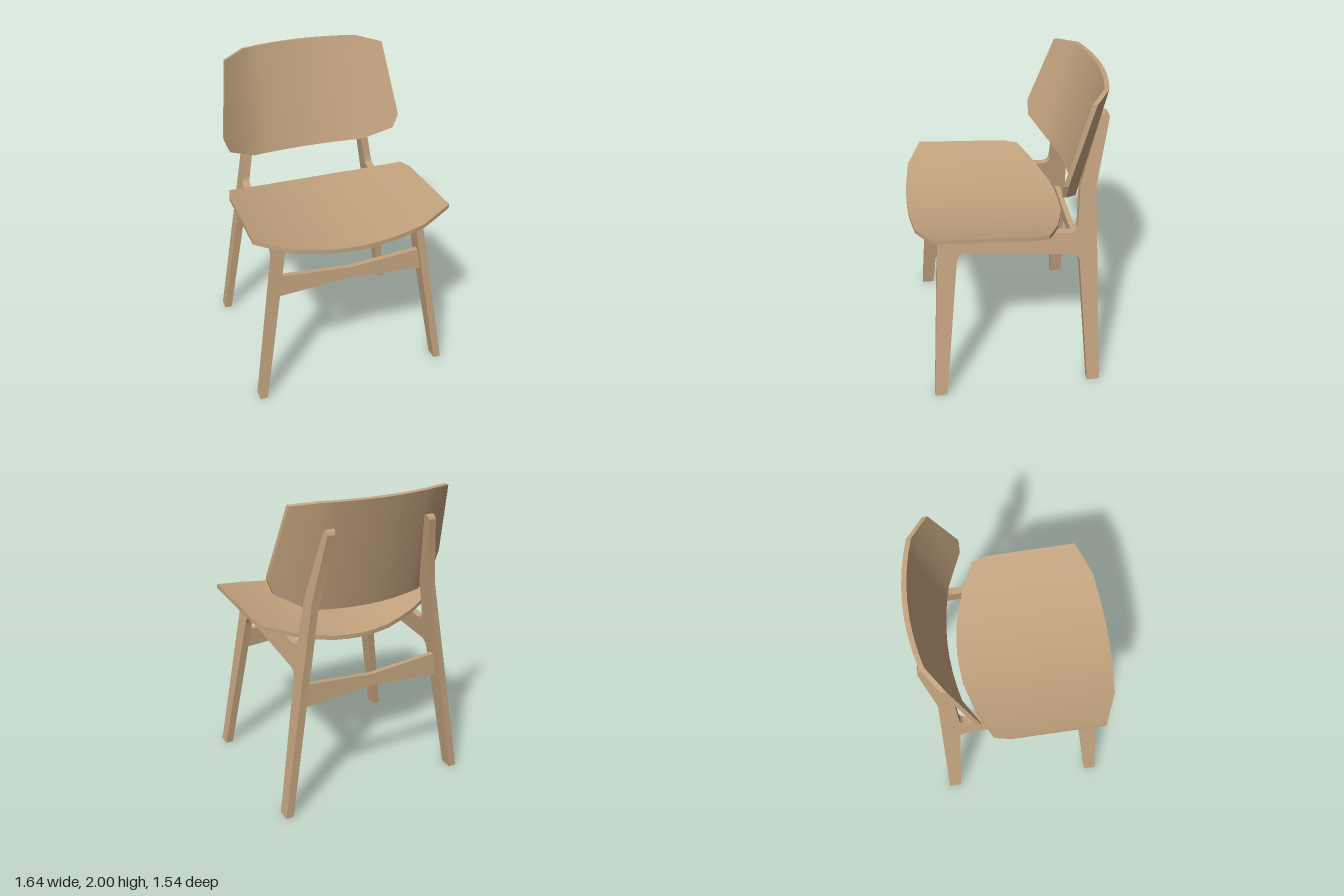
import * as THREE from 'three';
import { toCreasedNormals } from 'three/addons/utils/BufferGeometryUtils.js';

const wood = new THREE.MeshStandardMaterial({ color: 0xc4a47f });
wood.name = 'wood';

const LEAN = 0.158; // inward lean of the side frames per unit of height
const CREASE = 0.35;

// height of the seat top: dished across, sloping to the back
const seatY = (x, z) => 1.08 + 0.057 * (z + 0.19) + 0.1 * (x / 0.63) ** 2;

// depth of the backrest front: leaning back, wings bent forward
function backZ(x, y) {
  const a = Math.abs(x);
  const bend = a < 0.39 ? 0.055 * (a / 0.39) ** 2 : 0.055 + 0.67 * (a - 0.39);
  return -0.41 - 0.24 * (y - 1.295) + bend;
}

function addMesh(parent, name, geometry) {
  const mesh = new THREE.Mesh(geometry, wood);
  mesh.name = name;
  parent.add(mesh);
  return mesh;
}

// Curved plate from mirrored stations [x, low edge, high edge]
function plate(half, rows, point, offset) {
  const stations = [...half.slice(1).reverse().map(([x, lo, hi]) => [-x, lo, hi]), ...half];
  const cols = stations.length;
  const count = cols * (rows + 1);
  const front = [];
  const index = [];
  for (const [x, lo, hi] of stations) {
    for (let j = 0; j <= rows; j++) front.push(point(x, lo + (hi - lo) * j / rows));
  }
  const back = front.map((p) => p.clone().add(offset));
  const id = (i, j) => i * (rows + 1) + j;
  const quad = (a, b, c, d) => index.push(a, b, c, a, c, d);
  for (let i = 0; i < cols - 1; i++) {
    for (let j = 0; j < rows; j++) {
      const q = [id(i, j), id(i + 1, j), id(i + 1, j + 1), id(i, j + 1)];
      quad(...q);
      quad(...q.map((k) => k + count).reverse());
    }
  }
  // rim around the outline
  const loop = [];
  for (let i = 0; i < cols - 1; i++) loop.push(id(i, 0));
  for (let j = 0; j < rows; j++) loop.push(id(cols - 1, j));
  for (let i = cols - 1; i > 0; i--) loop.push(id(i, rows));
  for (let j = rows; j > 0; j--) loop.push(id(0, j));
  loop.forEach((p, k) => {
    const q = loop[(k + 1) % loop.length];
    quad(p + count, q + count, q, p);
  });
  const geometry = new THREE.BufferGeometry().setFromPoints([...front, ...back]);
  geometry.setIndex(index);
  return toCreasedNormals(geometry, CREASE);
}

// Side frame: front leg, rail and back post in one piece, drawn in (z, y)
function sideFrame(side) {
  const s = new THREE.Shape();
  s.moveTo(0.552, 0);
  s.lineTo(0.475, 1.146);
  s.lineTo(-0.15, 1.108);
  s.lineTo(-0.33, 1.088);
  s.quadraticCurveTo(-0.395, 1.085, -0.397, 1.14);
  s.lineTo(-0.407, 1.395);
  s.lineTo(-0.523, 1.81);
  s.quadraticCurveTo(-0.535, 1.84, -0.552, 1.84);
  s.quadraticCurveTo(-0.572, 1.84, -0.578, 1.81);
  s.lineTo(-0.506, 1.385);
  s.lineTo(-0.555, 0);
  s.lineTo(-0.472, 0);
  s.lineTo(-0.409, 0.89);
  s.quadraticCurveTo(-0.405, 0.938, -0.352, 0.944);
  s.lineTo(0.30, 1.013);
  s.quadraticCurveTo(0.357, 1.015, 0.367, 0.95);
  s.lineTo(0.472, 0);
  s.closePath();
  const geometry = new THREE.ExtrudeGeometry(s, { depth: 0.05, bevelEnabled: false, curveSegments: 5 });
  const p = geometry.attributes.position;
  for (let i = 0; i < p.count; i++) {
    const z = p.getX(i), y = p.getY(i), w = p.getZ(i);
    p.setXYZ(i, side * (0.625 - LEAN * y) + 0.025 - w, y, z);
  }
  geometry.deleteAttribute('normal');
  return toCreasedNormals(geometry, CREASE);
}

// Stretcher: bow-tie board between two legs
function stretcher(low, high, z, slope) {
  const mid = (low + high) / 2;
  const reach = (y) => 0.62 - LEAN * y;
  const s = new THREE.Shape();
  s.moveTo(-reach(low), low - mid);
  s.lineTo(0, -0.037);
  s.lineTo(reach(low), low - mid);
  s.lineTo(reach(high), high - mid);
  s.lineTo(0, 0.037);
  s.lineTo(-reach(high), high - mid);
  s.closePath();
  const geometry = new THREE.ExtrudeGeometry(s, { depth: 0.036, bevelEnabled: false });
  geometry.translate(0, 0, -0.018);
  geometry.rotateX(slope);
  geometry.translate(0, mid, z);
  return geometry;
}

export function createModel() {
  const model = new THREE.Group();
  model.name = 'chair';
  const chair = new THREE.Group();
  chair.name = 'turnedChair';
  chair.rotation.y = -0.4206;
  model.add(chair);

  // Frame
  addMesh(chair, 'leftSideFrame', sideFrame(1));
  addMesh(chair, 'rightSideFrame', sideFrame(-1));
  addMesh(chair, 'frontStretcher', stretcher(0.745, 0.888, 0.453, -0.067));
  addMesh(chair, 'backStretcher', stretcher(0.718, 0.87, -0.472, 0.05));

  // Seat: stations give the front and back edges as -z
  const seat = [
    [0, -0.64, 0.362], [0.1, -0.638, 0.357], [0.2, -0.632, 0.346], [0.31, -0.62, 0.314],
    [0.42, -0.607, 0.28], [0.52, -0.563, 0.235], [0.61, -0.523, 0.19], [0.634, -0.512, 0.087],
  ];
  addMesh(chair, 'seat', plate(seat, 6,
    (x, b) => new THREE.Vector3(x, seatY(x, -b), -b), new THREE.Vector3(0, -0.028, 0)));

  // Backrest: stations give the bottom and top edges
  const rest = [
    [0, 1.295, 2], [0.1, 1.296, 2], [0.2, 1.299, 2], [0.3, 1.304, 2], [0.39, 1.31, 2],
    [0.535, 1.39, 1.975], [0.571, 1.41, 1.74], [0.605, 1.5, 1.52],
  ];
  addMesh(chair, 'backrest', plate(rest, 6,
    (x, y) => new THREE.Vector3(x, y, backZ(x, y)), new THREE.Vector3(0, -0.004, -0.03)));

  // Small plugs over the fixings
  const plug = new THREE.CylinderGeometry(0.009, 0.009, 0.02, 10);
  for (const side of [-1, 1]) {
    for (const z of [0.3, -0.1]) {
      const m = addMesh(chair, 'seatPlug', plug);
      m.position.set(side * 0.463, seatY(0.463, z) - 0.009, z);
      m.rotation.z = side * 0.23;
    }
    for (const y of [1.77, 1.53]) {
      const x = 0.622 - LEAN * y;
      const m = addMesh(chair, 'backrestPlug', plug);
      m.position.set(side * x, y, backZ(x, y) - 0.009);
      m.rotation.set(Math.PI / 2 - 0.235, 0, side * 0.25);
    }
  }
  return model;
}
